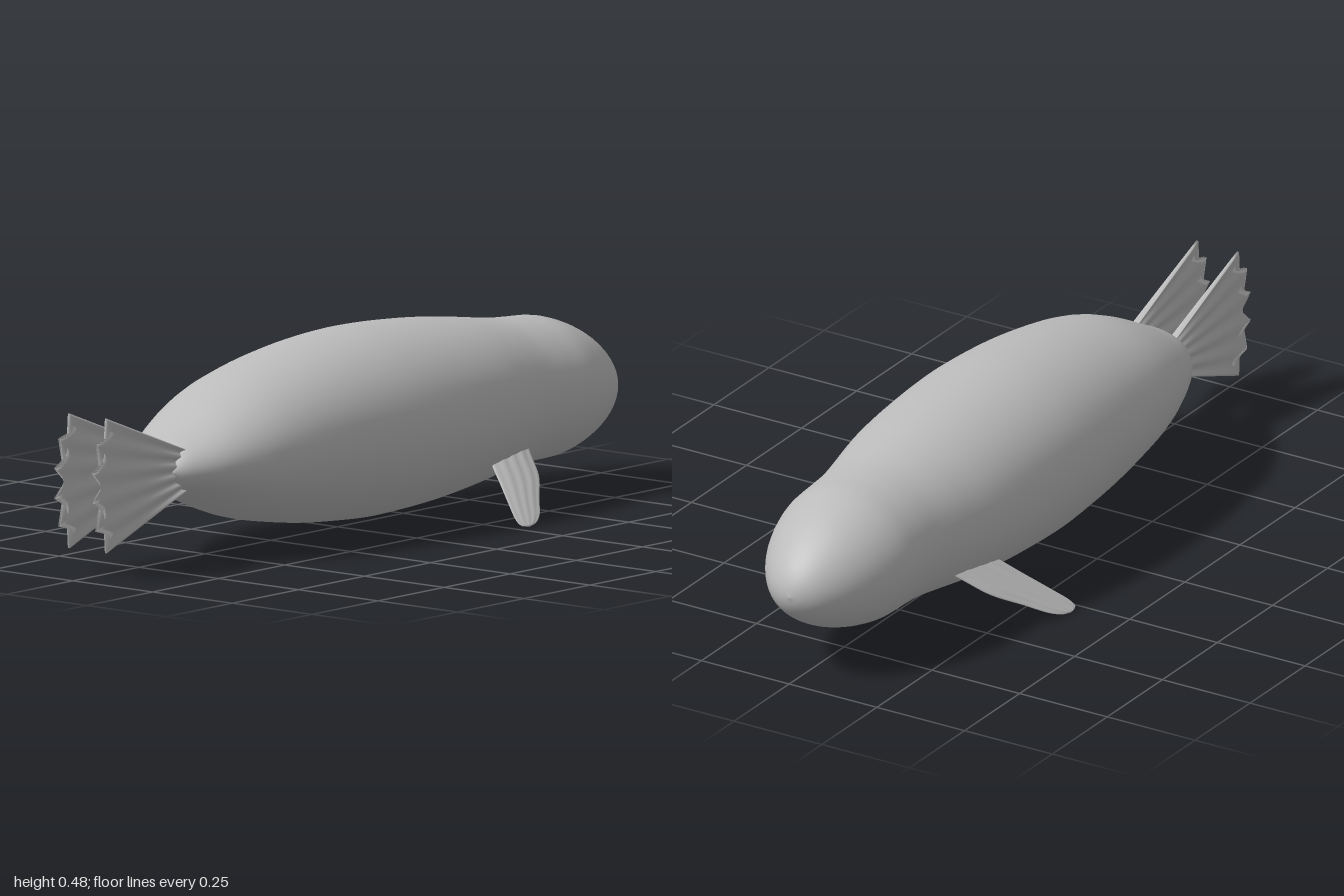
import * as THREE from 'three';

// Skin a list of rings (each an array of Vector3, counter-clockwise about the advance direction)
function loft(rings) {
  const n = rings[0].length, pos = [], idx = [];
  rings.forEach(r => r.forEach(p => pos.push(p.x, p.y, p.z)));
  for (let i = 0; i < rings.length - 1; i++) {
    for (let j = 0; j < n; j++) {
      const a = i * n + j, b = i * n + (j + 1) % n;
      idx.push(a, b, a + n, b, b + n, a + n);
    }
  }
  // end caps
  [0, rings.length - 1].forEach((i, end) => {
    const c = new THREE.Vector3();
    rings[i].forEach(p => c.addScaledVector(p, 1 / n));
    const k = pos.length / 3;
    pos.push(c.x, c.y, c.z);
    for (let j = 0; j < n; j++) {
      const a = i * n + j, b = i * n + (j + 1) % n;
      if (end) idx.push(k, a, b); else idx.push(k, b, a);
    }
  });
  const g = new THREE.BufferGeometry();
  g.setAttribute('position', new THREE.Float32BufferAttribute(pos, 3));
  g.setIndex(idx);
  g.computeVertexNormals();
  return g;
}

// Mirror rings across z = 0, reversed so the faces still point outward
const mirrorZ = rings => rings.map(r => r.map(p => new THREE.Vector3(p.x, p.y, -p.z)).reverse());

// Smoothly sampled [a, b, c] rows
const sample = (rows, count) =>
  new THREE.CatmullRomCurve3(rows.map(r => new THREE.Vector3(...r)), false, 'centripetal').getPoints(count);

// Body: x, half height, half width, from tail to nose
function bodyRings() {
  const rows = [
    [-0.697, 0.004, 0.058], [-0.69, 0.028, 0.068], [-0.667, 0.055, 0.095], [-0.6, 0.088, 0.145],
    [-0.5, 0.137, 0.188], [-0.4, 0.174, 0.215], [-0.2, 0.213, 0.242], [0, 0.231, 0.256], [0.1, 0.232, 0.257],
    [0.25, 0.225, 0.25], [0.4, 0.21, 0.234], [0.5, 0.196, 0.213], [0.6, 0.182, 0.194], [0.68, 0.177, 0.189],
    [0.76, 0.172, 0.184], [0.85, 0.145, 0.157], [0.92, 0.107, 0.118], [0.97, 0.064, 0.072],
    [0.992, 0.03, 0.034], [1, 0.001, 0.001],
  ];
  return sample(rows, 110).map(({ x, y: h, z: w }) => {
    const cy = 0.25 - 0.022 * ((x - 0.15) / 0.85) ** 4;
    return Array.from({ length: 48 }, (_, j) => {
      const a = j / 48 * Math.PI * 2;
      return new THREE.Vector3(x, cy + h * Math.cos(a), w * Math.sin(a));
    });
  });
}

// Front flipper: distance from root, rear edge x, front edge x; slants outward and down
function flipperRings() {
  const rows = [
    [-0.05, 0.4, 0.54], [0, 0.36, 0.51], [0.07, 0.325, 0.472], [0.14, 0.29, 0.405],
    [0.19, 0.267, 0.357], [0.21, 0.267, 0.325], [0.217, 0.283, 0.3],
  ];
  const root = new THREE.Vector3(0, 0.128, 0.185);
  const dir = new THREE.Vector3(0, -0.127, 0.176).normalize();
  const up = dir.clone().cross(new THREE.Vector3(1, 0, 0));
  return sample(rows, 30).map(({ x: s, y: back, z: front }) => {
    const thick = THREE.MathUtils.mapLinear(s, -0.05, 0.217, 0.012, 0.003);
    return Array.from({ length: 48 }, (_, j) => {
      const a = j / 48 * Math.PI * 2, c = Math.cos(a);
      const rib = 0.85 + 0.15 * Math.cos(c * Math.PI * 4);
      const p = root.clone().addScaledVector(dir, s).addScaledVector(up, thick * rib * Math.sin(a));
      p.x = (back + front) / 2 + c * (front - back) / 2;
      return p;
    });
  });
}

// Tail fin: upright ribbed fan with six pointed toes
function fanRings() {
  const rings = [], steps = 60, rows = 14;
  for (let i = 0; i <= rows; i++) {
    const v = i / rows, ring = [];
    const point = (u, side) => {
      const t = 1 - 2 * u;
      const reach = 0.36 - 0.055 * Math.abs(t) ** 2.2 - 0.035 * v * v * Math.abs(Math.sin(5 * Math.PI * u));
      const len = v * reach;
      const half = 0.047 + 0.118 * len / 0.305;
      const rib = 0.2 + 0.8 * Math.cos(5 * Math.PI * u) ** 2;
      const thick = (0.009 - 0.006 * v) * rib;
      ring.push(new THREE.Vector3(-0.64 - len, 0.23 + t * half, 0.058 + side * thick));
    };
    for (let j = 0; j <= steps; j++) point(j / steps, -1);
    for (let j = steps; j >= 0; j--) point(j / steps, 1);
    rings.push(ring);
  }
  return rings;
}

export function createModel() {
  const group = new THREE.Group();
  const skin = new THREE.MeshStandardMaterial({ color: 0xbbbbbb });
  skin.name = 'grey skin';
  const add = (name, rings) => {
    const mesh = new THREE.Mesh(loft(rings), skin);
    mesh.name = name;
    group.add(mesh);
  };
  add('body', bodyRings());
  add('frontFlipperNear', flipperRings());
  add('frontFlipperFar', mirrorZ(flipperRings()));
  add('tailFinNear', fanRings());
  add('tailFinFar', mirrorZ(fanRings()));
  return group;
}
